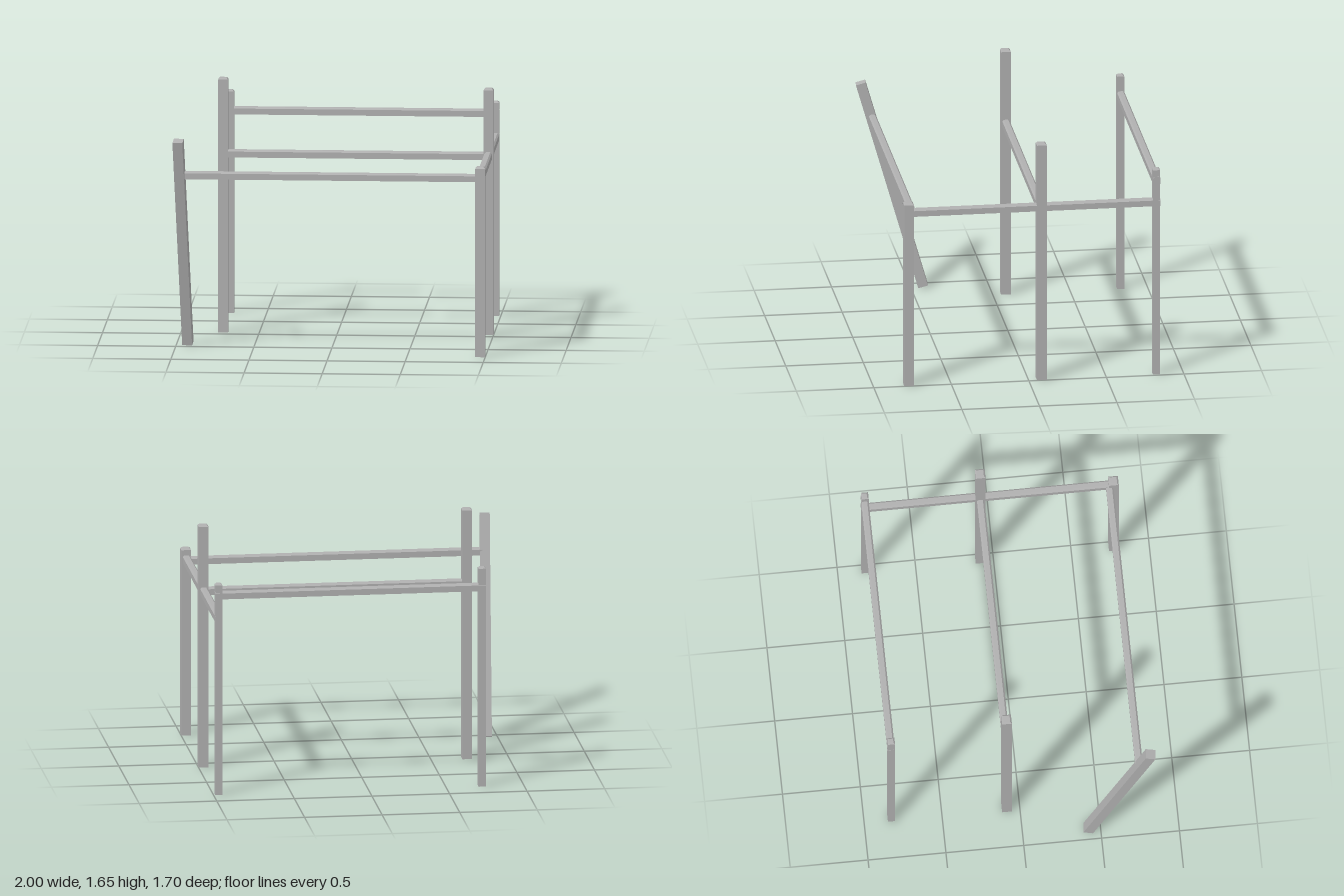
import * as THREE from 'three';

const CHAMFER = 0.01;

// Square post standing on y = 0, with its top edges chamfered
function postGeometry(width, height) {
  const g = new THREE.BoxGeometry(width, height, width, 1, 2, 1);
  g.translate(0, height / 2, 0);
  const p = g.attributes.position;
  const inset = (width / 2 - CHAMFER) / (width / 2);
  for (let i = 0; i < p.count; i++) {
    const y = p.getY(i);
    if (y > height - 0.001) {
      p.setX(i, p.getX(i) * inset);
      p.setZ(i, p.getZ(i) * inset);
    } else if (y > 0.001) {
      p.setY(i, height - CHAMFER);
    }
  }
  const flat = g.toNonIndexed();
  flat.computeVertexNormals();
  return flat;
}

// Rail along z, centred on its length, with both upper edges chamfered
function railGeometry(size, length) {
  const h = size / 2, c = h - CHAMFER;
  const section = new THREE.Shape([
    [-h, -h], [h, -h], [h, c], [c, h], [-c, h], [-h, c],
  ].map(([x, y]) => new THREE.Vector2(x, y)));
  const g = new THREE.ExtrudeGeometry(section, { depth: length, bevelEnabled: false });
  g.translate(0, 0, -length / 2);
  return g;
}

export function createModel() {
  const model = new THREE.Group();
  model.name = 'postAndRailFrame';
  const grey = new THREE.MeshStandardMaterial({ color: 0xb0b0b0 });
  grey.name = 'grey';

  const add = (name, geometry, x, y, z) => {
    const mesh = new THREE.Mesh(geometry, grey);
    mesh.name = name;
    mesh.position.set(x, y, z);
    model.add(mesh);
    return mesh;
  };

  // Upright posts: name, width, height, x, z
  for (const [name, w, h, x, z] of [
    ['frontLeftPost', 0.063, 1.23, 0.968, 0.772],
    ['middleLeftPost', 0.063, 1.595, 0.968, -0.084],
    ['middleRightPost', 0.063, 1.648, -0.731, -0.084],
    ['backLeftPost', 0.046, 1.39, 0.966, -0.825],
    ['backRightPost', 0.046, 1.445, -0.731, -0.825],
  ]) add(name, postGeometry(w, h), x, 0, z);

  // Cross rails along x: name, start x, end x, y, z
  for (const [name, x0, x1, y, z] of [
    ['frontRail', -0.94, 0.96, 1.152, 0.746],
    ['middleRail', -0.74, 0.96, 1.157, -0.084],
    ['backRail', -0.756, 0.99, 1.312, -0.826],
  ]) add(name, railGeometry(0.048, x1 - x0), (x0 + x1) / 2, y, z).rotation.y = Math.PI / 2;

  // Side rail along z joining the three left posts
  add('sideRail', railGeometry(0.048, 1.61), 0.966, 1.162, -0.045);

  // Leaning post, tilted forward and slightly outward
  const foot = new THREE.Vector3(-0.927, 0.008, 0.421);
  const head = new THREE.Vector3(-0.965, 1.384, 0.818);
  const lean = head.clone().sub(foot);
  const mid = foot.clone().add(head).multiplyScalar(0.5);
  const pole = add('leaningPost', new THREE.BoxGeometry(0.064, lean.length(), 0.064), mid.x, mid.y, mid.z);
  pole.rotation.order = 'YXZ';
  pole.rotation.y = Math.atan2(lean.x, lean.z);
  pole.rotation.x = Math.atan2(Math.hypot(lean.x, lean.z), lean.y);

  return model;
}
